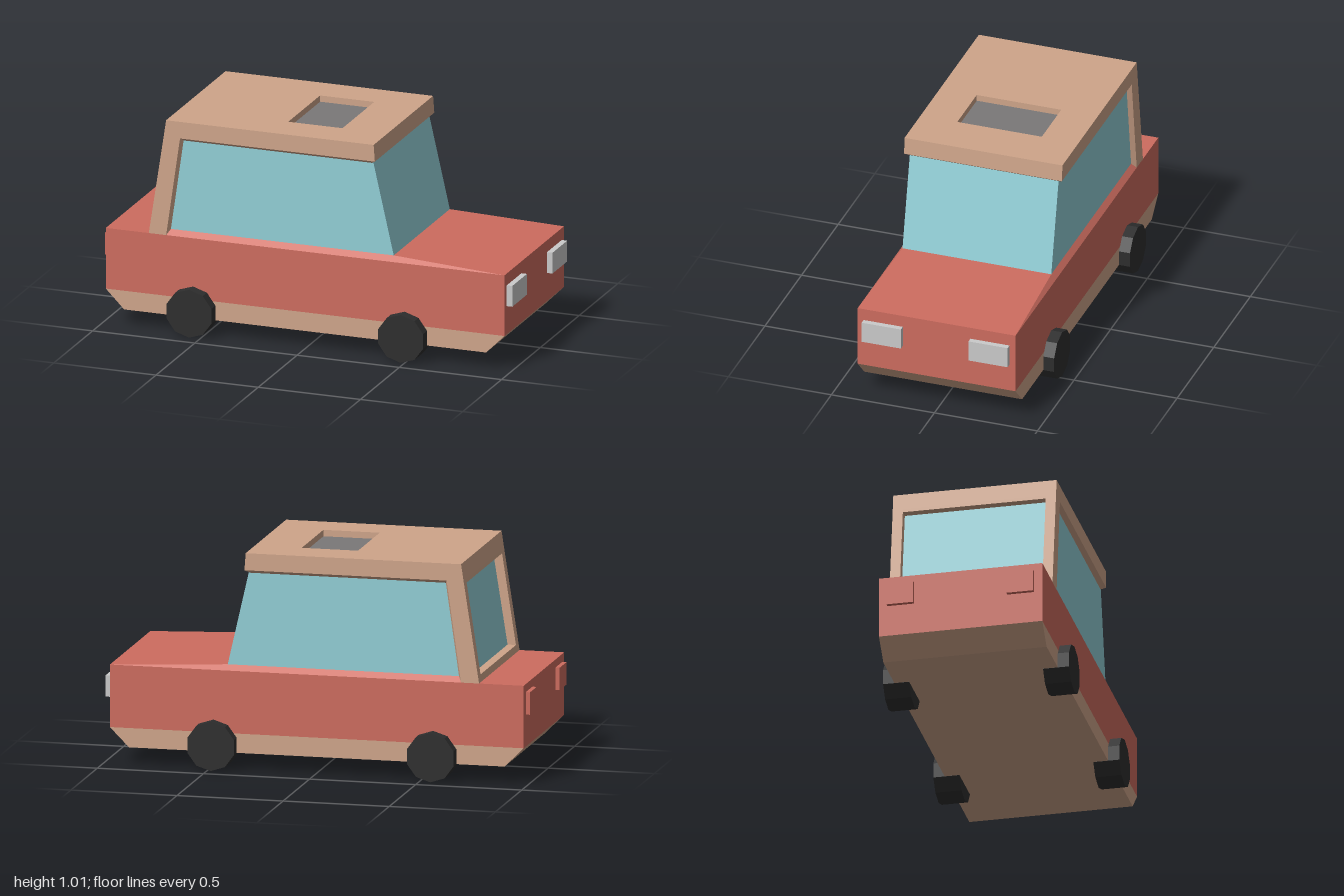
import * as THREE from 'three';

const paint = (name, color) => {
  const m = new THREE.MeshStandardMaterial({ color });
  m.name = name;
  return m;
};

export function createModel() {
  const car = new THREE.Group();
  car.name = 'car';
  const red = paint('red paint', 0xcd6c5f);
  const beige = paint('beige trim', 0xcfa58a);
  const glass = paint('blue glass', 0x92ced6);
  const black = paint('black rubber', 0x2e2e2e);
  const silver = paint('silver lamp', 0xcacaca);
  const grey = paint('grey sunroof', 0x7a7878);

  const add = (name, geometry, material) => {
    const mesh = new THREE.Mesh(geometry, material);
    mesh.name = name;
    car.add(mesh);
    return mesh;
  };

  // Six-sided block: each level is [y, xBack, xFront, zRight, zLeft];
  // innerPush moves the front corners of the zRight side forward
  const block = (name, material, low, high, rightPush = 0, leftPush = 0) => {
    const g = new THREE.BoxGeometry(1, 1, 1);
    const p = g.attributes.position;
    for (let i = 0; i < p.count; i++) {
      const [y, x0, x1, z0, z1] = p.getY(i) < 0 ? low : high;
      const front = p.getX(i) > 0, left = p.getZ(i) > 0;
      const x = front ? x1 + (left ? leftPush : rightPush) : x0;
      p.setXYZ(i, x, y, left ? z1 : z0);
    }
    g.computeVertexNormals();
    return add(name, g, material);
  };

  // Lower body, tapered sill and raised shoulder with sloping bonnet
  const W = 0.383, G = 0.361;
  block('underbody', beige, [0.08, -0.89, 0.88, -W, W], [0.17, -0.98, 0.97, -W, W]);
  block('body', red, [0.17, -0.98, 0.97, -W, W], [0.462, -0.98, 0.97, -W, W]);
  block('bonnetAndShoulder', red, [0.462, -0.69, 0.97, -W, W], [0.487, -0.68, 0.42, -G, G]);

  // Cabin glass
  block('cabinGlass', glass, [0.465, -0.73, 0.425, -G, G], [0.925, -0.657, 0.32, -G, G]);

  // Roof with a sunroof opening, its ends leaning with the cabin
  const outline = new THREE.Shape([
    [-0.685, -W], [0.33, -W], [0.33, W], [-0.685, W],
  ].map(([x, z]) => new THREE.Vector2(x, z)));
  outline.holes.push(new THREE.Path([
    [-0.155, -0.205], [-0.155, 0.205], [0.11, 0.205], [0.11, -0.205],
  ].map(([x, z]) => new THREE.Vector2(x, z))));
  const roof = new THREE.ExtrudeGeometry(outline, { depth: 0.08, bevelEnabled: false });
  roof.rotateX(-Math.PI / 2).translate(0, 0.935, 0);
  const rp = roof.attributes.position;
  for (let i = 0; i < rp.count; i++) {
    if (rp.getY(i) > 0.97) continue;
    if (rp.getX(i) < -0.5) rp.setX(i, -0.697);
    if (rp.getX(i) > 0.3) rp.setX(i, 0.336);
  }
  roof.computeVertexNormals();
  add('roof', roof, beige);
  block('roofEdge', beige, [0.92, -0.699, 0.315, -G, G], [0.935, -0.697, 0.336, -W, W]);
  block('sunroof', grey, [0.936, -0.155, 0.11, -0.205, 0.205], [0.985, -0.155, 0.11, -0.205, 0.205]);

  // Rear pillars and the ledge below the rear window
  block('leftRearPillar', beige, [0.46, -0.77, -0.685, 0.335, W], [0.935, -0.697, -0.617, 0.335, W], 0.025, 0);
  block('rightRearPillar', beige, [0.46, -0.77, -0.685, -W, -0.335], [0.935, -0.697, -0.617, -W, -0.335], 0, 0.025);
  block('rearWindowLedge', beige, [0.46, -0.77, -0.71, -0.336, 0.336], [0.495, -0.765, -0.71, -0.336, 0.336]);

  // Lamps and wheels, mirrored
  for (const [side, s] of [['left', 1], ['right', -1]]) {
    add(side + 'Headlamp', new THREE.BoxGeometry(0.04, 0.1, 0.19), silver)
      .position.set(0.977, 0.355, s * 0.259);
    add(side + 'TailLamp', new THREE.BoxGeometry(0.04, 0.105, 0.125), red)
      .position.set(-0.98, 0.372, s * 0.281);
    for (const [end, x] of [['Front', 0.482], ['Rear', -0.553]]) {
      const tyre = new THREE.CylinderGeometry(0.115, 0.115, 0.122, 10).toNonIndexed();
      tyre.rotateX(Math.PI / 2);
      tyre.computeVertexNormals();
      add(side + end + 'Wheel', tyre, black).position.set(x, 0.115, s * 0.375);
    }
  }
  return car;
}
